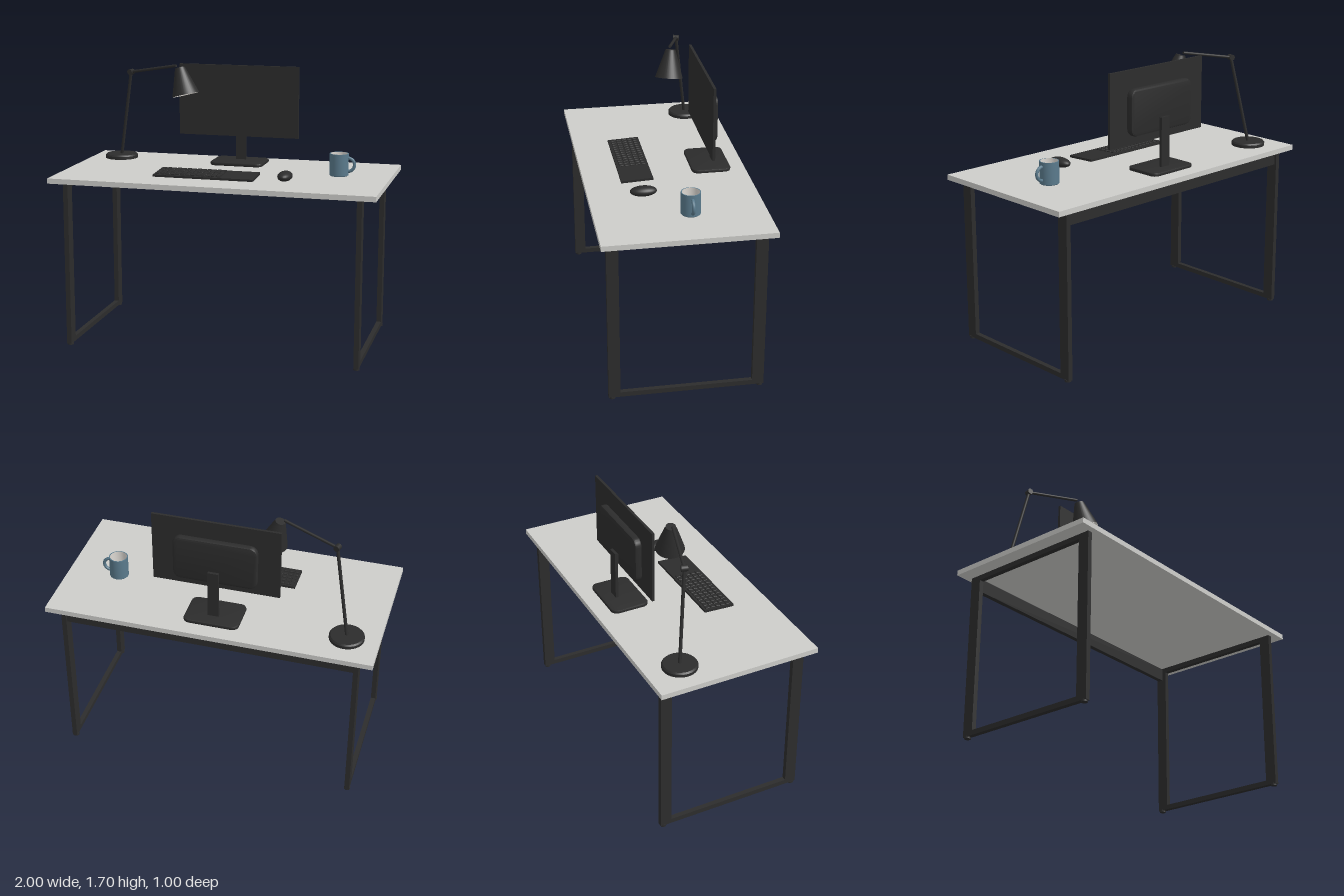
import * as THREE from 'three';
import { RoundedBoxGeometry } from 'three/addons/geometries/RoundedBoxGeometry.js';
import { toCreasedNormals } from 'three/addons/utils/BufferGeometryUtils.js';

const mat = (name, color) => Object.assign(new THREE.MeshStandardMaterial({ color }), { name });
const V = (x, y, z) => new THREE.Vector3(x, y, z);

export function createModel() {
  const charcoal = mat('charcoal', 0x2c2c2c);
  const stone = mat('pale stone', 0xcdcdca);
  const blue = mat('slate blue', 0x5a7a8c);
  const white = mat('warm white', 0xdcd8d2);
  white.side = THREE.DoubleSide;

  const model = new THREE.Group();
  model.name = 'workDesk';
  const group = (name) => {
    const g = new THREE.Group();
    g.name = name;
    model.add(g);
    return g;
  };
  const add = (parent, name, geo, material, x = 0, y = 0, z = 0) => {
    const m = new THREE.Mesh(geo, material);
    m.name = name;
    m.position.set(x, y, z);
    parent.add(m);
    return m;
  };
  // Box given by its extents on each axis
  const box = (parent, name, material, [x0, x1], [y0, y1], [z0, z1]) =>
    add(parent, name, new THREE.BoxGeometry(x1 - x0, y1 - y0, z1 - z0), material,
      (x0 + x1) / 2, (y0 + y1) / 2, (z0 + z1) / 2);
  // Cylinder or cone running between two points
  const rod = (parent, name, material, a, b, rb, rt = rb, open = false, seg = 16) => {
    const m = add(parent, name, new THREE.CylinderGeometry(rt, rb, a.distanceTo(b), seg, 1, open), material);
    m.position.copy(a).lerp(b, 0.5);
    m.quaternion.setFromUnitVectors(V(0, 1, 0), b.clone().sub(a).normalize());
    return m;
  };
  // Rounded rectangle plate with bevelled rims, extruded along +z
  const plate = (w, h, r, depth, bevel) => {
    const x = w / 2 - bevel, y = h / 2 - bevel, s = new THREE.Shape();
    s.moveTo(-x + r, -y);
    s.absarc(x - r, -y + r, r, -Math.PI / 2, 0);
    s.absarc(x - r, y - r, r, 0, Math.PI / 2);
    s.absarc(-x + r, y - r, r, Math.PI / 2, Math.PI);
    s.absarc(-x + r, -y + r, r, Math.PI, Math.PI * 1.5);
    const g = new THREE.ExtrudeGeometry(s, {
      depth: depth - 2 * bevel, bevelThickness: bevel, bevelSize: bevel, bevelSegments: 2, curveSegments: 6,
    });
    g.translate(0, 0, bevel);
    return toCreasedNormals(g, 0.6);
  };

  // Desk top and the two loop-shaped side frames
  const desk = group('desk');
  box(desk, 'deskTop', stone, [-1, 1], [1.026, 1.058], [-0.5, 0.5]);
  for (const s of [-1, 1]) {
    const xs = [s * 0.899 - 0.015, s * 0.899 + 0.015];
    for (const t of [-1, 1]) {
      box(desk, 'leg', charcoal, xs, [0.01, 0.997], [t * 0.428 - 0.035, t * 0.428 + 0.035]);
      add(desk, 'foot', new THREE.CylinderGeometry(0.019, 0.019, 0.014, 16), charcoal, s * 0.899, 0.007, t * 0.44);
    }
    box(desk, 'topRail', charcoal, xs, [0.995, 1.026], [-0.463, 0.463]);
    box(desk, 'bottomRail', charcoal, xs, [0.01, 0.04], [-0.4, 0.4]);
  }
  box(desk, 'backBeam', charcoal, [-0.89, 0.89], [0.94, 1.024], [-0.45, -0.42]);

  // Monitor on its stand
  const monitor = group('monitor');
  box(monitor, 'screen', charcoal, [-0.39, 0.386], [1.24, 1.69], [-0.257, -0.241]);
  add(monitor, 'rearHousing', plate(0.51, 0.285, 0.035, 0.045, 0.012), charcoal, -0.004, 1.437, -0.299);
  box(monitor, 'mount', charcoal, [-0.025, 0.02], [1.31, 1.37], [-0.315, -0.295]);
  box(monitor, 'standPost', charcoal, [-0.037, 0.03], [1.06, 1.385], [-0.328, -0.31]);
  const base = add(monitor, 'standBase', plate(0.34, 0.24, 0.035, 0.022, 0.006), charcoal, -0.004, 1.058, -0.287);
  base.rotation.x = -Math.PI / 2;

  // Keyboard: sloping slab with a block of keys
  const keyboard = group('keyboard');
  keyboard.position.set(-0.09, 1.069, 0.182);
  keyboard.rotation.x = 0.05;
  add(keyboard, 'keyboardBody', new THREE.BoxGeometry(0.625, 0.014, 0.195), charcoal);
  const key = new RoundedBoxGeometry(0.026, 0.01, 0.027, 1, 0.003);
  for (let r = 0; r < 5; r++) {
    for (let c = 0; c < 13; c++) {
      add(keyboard, 'key', key, charcoal, -0.288 + c * 0.032, 0.009, -0.07 + r * 0.034);
    }
  }

  // Mouse: flattened dome
  const mouse = add(model, 'mouse', new THREE.SphereGeometry(1, 28, 18), charcoal, 0.397, 1.083, 0.172);
  mouse.scale.set(0.044, 0.03, 0.08);

  // Mug with a pale lining and a dark drink
  const mug = group('mug');
  mug.position.set(0.682, 1.058, -0.057);
  const lathe = (pts) => toCreasedNormals(
    new THREE.LatheGeometry(pts.map(([x, y]) => new THREE.Vector2(x, y)), 32), 0.6);
  add(mug, 'mugBody', lathe([[0, 0], [0.054, 0], [0.058, 0.004], [0.058, 0.137], [0.052, 0.137]]), blue);
  add(mug, 'mugLining', lathe([[0.052, 0.137], [0.052, 0.02]]), white);
  const drink = add(mug, 'drink', new THREE.CircleGeometry(0.052, 32), charcoal, 0, 0.05, 0);
  drink.rotation.x = -Math.PI / 2;
  const handle = add(mug, 'handle', new THREE.TorusGeometry(0.041, 0.01, 10, 20, Math.PI), blue, 0.054, 0.069, 0);
  handle.rotation.z = -Math.PI / 2;

  // Desk lamp: round base, two arms, tilted conical shade
  const lamp = group('lamp');
  const foot = V(-0.805, 1.075, -0.29), elbow = V(-0.705, 1.63, -0.215), tip = V(-0.372, 1.69, -0.117);
  add(lamp, 'lampBase', lathe([[0, 0], [0.105, 0], [0.105, 0.018], [0.097, 0.027], [0, 0.027]]), charcoal,
    foot.x, 1.058, foot.z);
  rod(lamp, 'lowerArm', charcoal, foot, elbow, 0.01);
  rod(lamp, 'upperArm', charcoal, elbow, tip, 0.009);
  rod(lamp, 'elbowJoint', charcoal, elbow.clone().add(V(-0.005, 0, 0.018)), elbow.clone().add(V(0.005, 0, -0.018)), 0.018);
  const top = V(-0.347, 1.677, -0.117), mouth = V(-0.305, 1.512, -0.1);
  rod(lamp, 'shade', charcoal, mouth, top, 0.086, 0.032, true, 32);
  rod(lamp, 'shadeCap', charcoal, top.clone().lerp(mouth, 0.04), top.clone().lerp(mouth, -0.02), 0.032, 0.03, false, 32);
  rod(lamp, 'shadeLining', white, mouth, top.clone().lerp(mouth, 0.05), 0.0835, 0.032, true, 32);

  return model;
}
